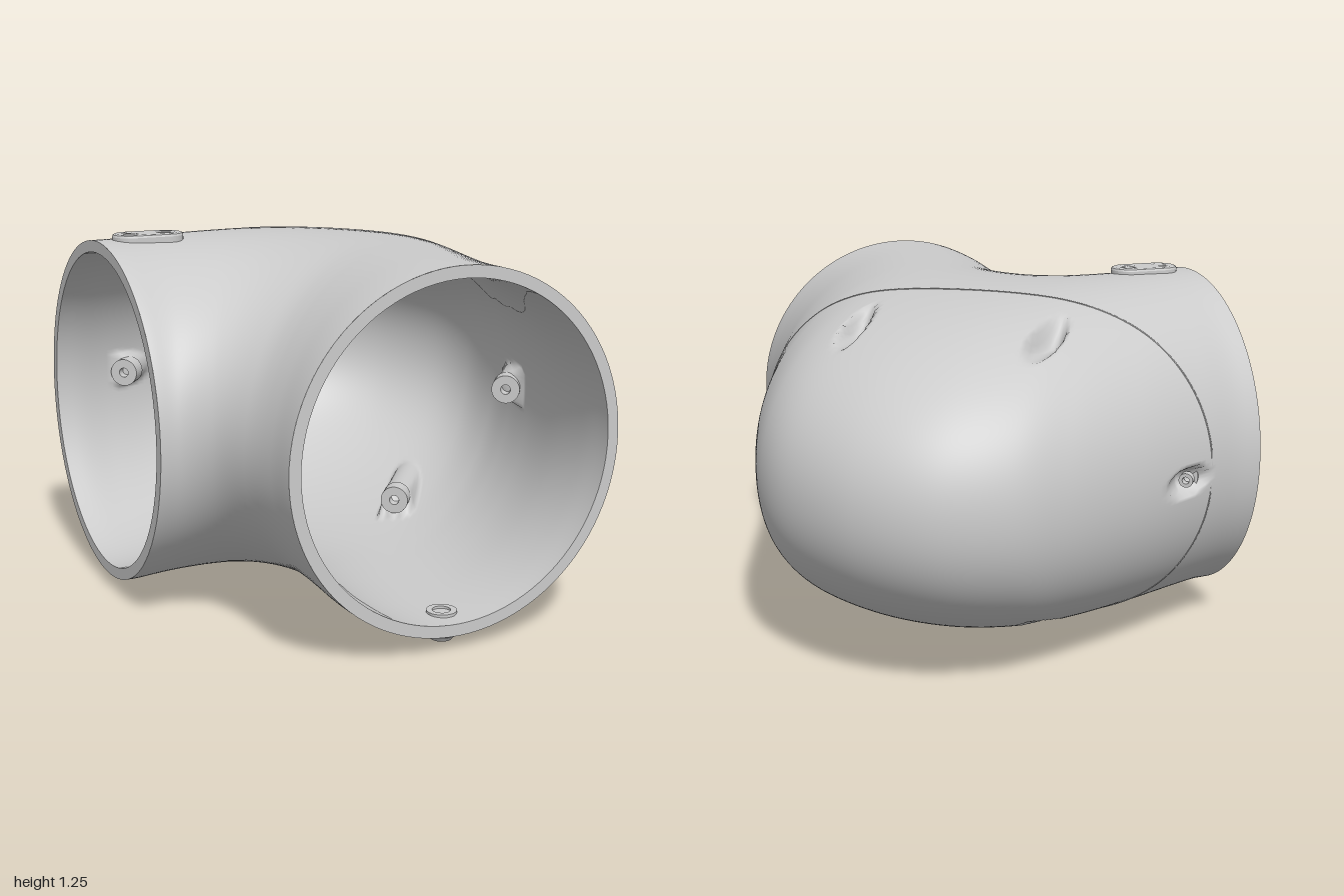
import * as THREE from 'three';
import { toCreasedNormals } from 'three/addons/utils/BufferGeometryUtils.js';

const material = new THREE.MeshStandardMaterial({ color: 0xcccccc });
const MID_Y = 0.64, RADIUS = 0.59, WALL = 0.04;
const { clamp, lerp } = THREE.MathUtils;

// Plan outline (x, z) of the elbow: the bulging outside and the tight crotch
const plan = (pts) => new THREE.CatmullRomCurve3(pts.map(([x, z]) => new THREE.Vector3(x, 0, z)), false, 'centripetal');
const outside = plan([[-0.84, -0.655], [-0.75, -0.67], [-0.6, -0.73], [-0.3, -0.86], [0, -0.965], [0.2, -1],
  [0.45, -0.95], [0.65, -0.8], [0.8, -0.55], [0.84, -0.35], [0.81, -0.1], [0.75, 0.12], [0.685, 0.34],
  [0.6, 0.65], [0.568, 0.85], [0.56, 1]]);
const crotch = plan([[-0.84, 0.525], [-0.77, 0.54], [-0.7, 0.61], [-0.65, 0.74], [-0.625, 0.88], [-0.62, 1]]);

// Cap frame: s runs along the seam, t points out of the cap
const SEAM = new THREE.Vector3(0.035, 0, -0.205);
const ALONG = new THREE.Vector3(0.786, 0, 0.618), OUT = new THREE.Vector3(0.618, 0, -0.786);
const capPoint = (s, t, y) => SEAM.clone().addScaledVector(ALONG, s).addScaledVector(OUT, t).setY(y);

// Screw pockets: axis position and the direction in (s, y) they open towards
const POCKET_R = 0.05, BOSS_R = 0.07;
const pockets = [];
for (const side of [-1, 1]) {
  pockets.push({ s: side * 0.775, y: MID_Y, es: side, ey: 0 });
  for (const up of [-1, 1]) pockets.push({ s: side * 0.33, y: MID_Y + up * 0.485, es: 0, ey: up });
}

// Cross-section at u: round at the openings, a blunt dome towards the outside midway
function section(u, inset) {
  const a = outside.getPointAt(u), b = crotch.getPointAt(u);
  const half = a.clone().sub(b).multiplyScalar(0.5), length = half.length(), dir = half.normalize();
  const blunt = Math.sin(Math.PI * u), shift = 0.07 * blunt * length;
  const c = a.add(b).multiplyScalar(0.5).addScaledVector(dir, -shift);
  const k1 = lerp(0.5523, 0.35, blunt), k2 = lerp(0.5523, 0.8, blunt);
  return (v) => {
    let x = Math.cos(v), y = Math.sin(v);
    if (x > 0) {
      const q = 1 - Math.abs(Math.asin(y)) / (Math.PI / 2), r = 1 - q;
      x = 3 * r * r * q * k1 + 3 * r * q * q + q * q * q;
      y = Math.sign(y) * (r * r * r + 3 * r * r * q + 3 * r * q * q * k2);
    }
    const reach = length - inset + (x > 0 ? shift : -shift);
    return c.clone().addScaledVector(dir, x * reach).setY(MID_Y + (RADIUS - inset) * y);
  };
}

// Presses a surface point onto the floor of a pocket (or, inside, its boss)
function carve(p, inner) {
  const d = p.clone().sub(SEAM), t = d.dot(OUT), s = d.dot(ALONG);
  if (t < 0) return p;
  const r = inner ? BOSS_R : POCKET_R;
  for (const k of pockets) {
    const qs = s - k.s, qy = p.y - k.y;
    const h = qs * k.es + qy * k.ey, side = Math.abs(qs * k.ey - qy * k.es);
    if (side >= r) continue;
    const floor = Math.sqrt(r * r - side * side);
    if (h < -floor || h > 0.12) continue;
    const wall = inner ? Math.min((r - side) / (0.3 * r), t / 0.03) : (floor - h) / (0.5 * r);
    const drop = -(h + floor) * clamp(wall, 0, 1);
    p.addScaledVector(ALONG, k.es * drop);
    p.y += k.ey * drop;
  }
  return p;
}

function skin(nu, nv, inner) {
  const pos = [], index = [];
  for (let i = 0; i <= nu; i++) {
    const f = i / nu;
    const at = section(clamp(f + 0.07 * Math.sin(2 * Math.PI * f), 0, 1), inner ? WALL : 0);
    for (let j = 0; j < nv; j++) {
      const th = (j / nv) * 2 * Math.PI;
      pos.push(...carve(at(th - 0.45 * Math.sin(th)), inner).toArray());
      if (i === nu) continue;
      const k = (j + 1) % nv, a = i * nv + j, b = a + nv, c = i * nv + k, d = c + nv;
      if (inner) index.push(a, b, c, b, d, c);
      else index.push(a, c, b, b, c, d);
    }
  }
  const g = new THREE.BufferGeometry();
  g.setAttribute('position', new THREE.Float32BufferAttribute(pos, 3));
  g.setIndex(index);
  g.computeVertexNormals();
  return g;
}

// Thin line round the joint between cap and body
function seamGeometry() {
  const top = [], bottom = [];
  for (let i = 0; i <= 400; i++) {
    const at = section(i / 400, 0), ahead = (v) => at(v).sub(SEAM).dot(OUT);
    if (ahead(0) < 0) continue;
    let lo = 0, hi = Math.PI;
    for (let n = 0; n < 24; n++) {
      const mid = (lo + hi) / 2;
      if (ahead(mid) > 0) lo = mid; else hi = mid;
    }
    top.push(at(lo));
    bottom.unshift(at(-lo));
  }
  const loop = new THREE.CatmullRomCurve3([...top, ...bottom], true, 'centripetal');
  return new THREE.TubeGeometry(loop, 300, 0.003, 4, true);
}

function ring(r, hole, depth) {
  const s = new THREE.Shape().absarc(0, 0, r, 0, Math.PI * 2);
  s.holes.push(new THREE.Path().absarc(0, 0, hole, 0, Math.PI * 2, true));
  return new THREE.ExtrudeGeometry(s, { depth, bevelEnabled: false, curveSegments: 20 });
}

export function createModel() {
  const model = new THREE.Group();
  const add = (name, geometry, x = 0, y = 0, z = 0) => {
    const m = new THREE.Mesh(geometry, material);
    m.name = name;
    m.position.set(x, y, z);
    model.add(m);
    return m;
  };

  // Shell with its two open rims
  add('outerShell', skin(190, 190, false));
  add('innerShell', skin(170, 170, true));
  add('capSeam', seamGeometry());
  const rim = new THREE.RingGeometry(RADIUS - WALL, RADIUS, 96);
  add('frontRim', rim, -0.03, MID_Y, 1);
  add('sideRim', rim, -0.84, MID_Y, -0.065).rotation.y = -Math.PI / 2;

  // Screw lugs inside the seam, with a screw head in each pocket
  const lug = ring(0.052, 0.018, 0.07), head = ring(0.024, 0.012, 0.03);
  const turn = Math.atan2(OUT.x, OUT.z);
  for (const k of pockets) {
    const place = (name, g, t, drop) => {
      const m = add(name, g);
      m.position.copy(capPoint(k.s - k.es * drop, t, k.y - k.ey * drop));
      m.rotation.y = turn;
    };
    place('screwLug', lug, -0.03, 0.033);
    place('screwHead', head, 0.06, 0.012);
  }

  // Button pad on top
  const pad = new THREE.Shape();
  pad.absarc(0.06, 0, 0.065, -Math.PI / 2, Math.PI / 2);
  pad.absarc(-0.06, 0, 0.065, Math.PI / 2, Math.PI * 1.5);
  for (const x of [-0.063, 0, 0.063]) pad.holes.push(new THREE.Path().absarc(x, 0, 0.022, 0, Math.PI * 2, true));
  const padGeometry = new THREE.ExtrudeGeometry(pad, {
    depth: 0.022, bevelThickness: 0.01, bevelSize: 0.01, bevelOffset: -0.01, bevelSegments: 2, curveSegments: 16,
  });
  add('buttonPad', padGeometry, -0.655, 1.218, -0.065).rotation.x = -Math.PI / 2;
  for (const x of [-0.063, 0, 0.063]) {
    add('padButton', new THREE.CylinderGeometry(0.021, 0.021, 0.024, 20), -0.655 + x, 1.234, -0.065);
  }

  // Stepped round fitting under the front opening, passing through the wall
  const fitting = [[0, 0.012], [0.02, 0.012], [0.024, 0], [0.036, 0.004], [0.046, 0.018], [0.046, 0.022], [0.062, 0.026],
    [0.062, 0.045], [0.05, 0.05], [0.05, 0.1], [0.03, 0.1], [0.03, 0.092], [0, 0.092]];
  const profile = fitting.map(([r, y]) => new THREE.Vector2(r, y));
  add('bottomFitting', toCreasedNormals(new THREE.LatheGeometry(profile, 32), 0.5), -0.03, 0, 0.89);
  return model;
}
